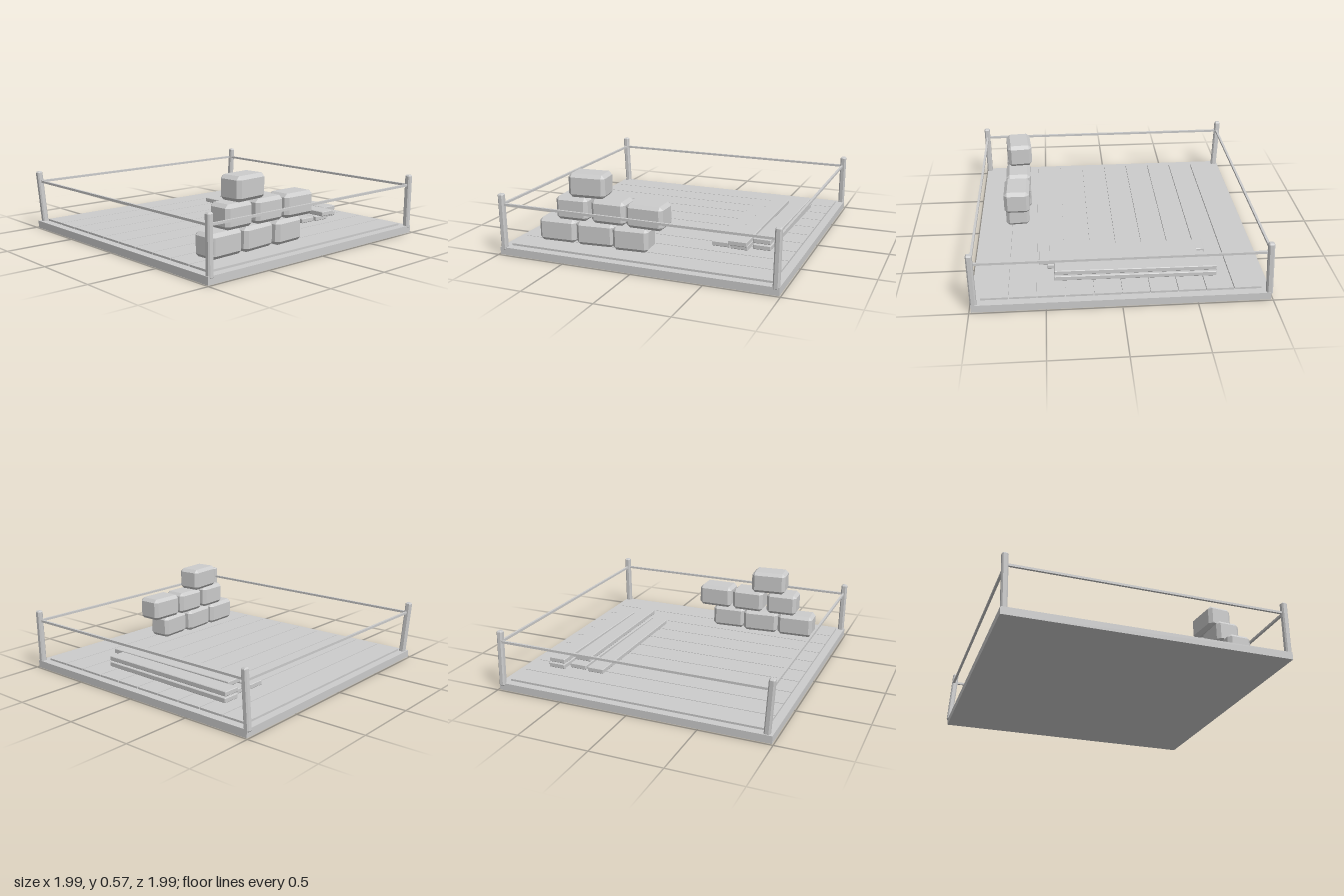
import * as THREE from 'three';
import { ConvexGeometry } from 'three/addons/geometries/ConvexGeometry.js';

const grey = new THREE.MeshStandardMaterial({ color: 0xcccccc });
grey.name = 'plain grey';

// Box with every edge and corner cut flat by c
function chamferBox(w, h, d, c) {
  const points = [];
  for (const x of [-1, 1]) for (const y of [-1, 1]) for (const z of [-1, 1]) {
    const half = [w / 2, h / 2, d / 2], s = [x, y, z];
    for (let axis = 0; axis < 3; axis++) {
      points.push(new THREE.Vector3(...half.map((v, i) => s[i] * (i === axis ? v : v - c))));
    }
  }
  return new ConvexGeometry(points);
}

function add(parent, name, geometry, x, y, z, turn = 0) {
  const mesh = new THREE.Mesh(geometry, grey);
  mesh.name = name;
  mesh.position.set(x, y, z);
  mesh.rotation.y = turn;
  parent.add(mesh);
  return mesh;
}

function addGroup(parent, name) {
  const group = new THREE.Group();
  group.name = name;
  parent.add(group);
  return group;
}

export function createModel() {
  const model = new THREE.Group();
  model.name = 'fencedDeck';

  // Base slab and ten floor planks with narrow gaps
  add(model, 'base', new THREE.BoxGeometry(1.98, 0.053, 1.975), 0, 0.0265, 0);
  const floor = addGroup(model, 'floor');
  const pitch = 0.1865;
  for (let i = 0; i < 10; i++) {
    add(floor, 'floorPlank', new THREE.BoxGeometry(1.865, 0.02, pitch - 0.006),
      0, 0.057, (i - 4.5) * pitch - 0.002);
  }

  // Corner posts, the back pair leaning: [bottom x, bottom z, top x, top z]
  const fence = addGroup(model, 'fence');
  const posts = [
    [-0.963, 0.97, -0.968, 0.97],
    [0.966, 0.97, 0.972, 0.97],
    [-0.948, -0.958, -0.975, -0.976],
    [0.968, -0.978, 0.972, -0.955],
  ];
  for (const [bx, bz, tx, tz] of posts) {
    const dir = new THREE.Vector3(tx - bx, 0.4, tz - bz);
    const post = add(fence, 'post', chamferBox(0.042, dir.length(), 0.042, 0.009),
      (bx + tx) / 2, 0.233, (bz + tz) / 2);
    post.quaternion.setFromUnitVectors(new THREE.Vector3(0, 1, 0), dir.normalize());
  }

  // Thin rails between the posts
  const rail = 0.016;
  for (const s of [-1, 1]) {
    add(fence, 'sideRail', new THREE.BoxGeometry(rail, rail, 1.94), s * 0.965, 0.357, 0);
    add(fence, 'crossRail', new THREE.BoxGeometry(1.94, rail, rail), 0, 0.357, s * 0.968);
  }

  // Stacked stone blocks: [x, y, z, width, depth, turn]
  const stack = addGroup(model, 'blockStack');
  const blocks = [
    [-0.66, 0.152, 0.707, 0.275, 0.175, 0.05],
    [-0.375, 0.152, 0.7, 0.275, 0.175, 0.09],
    [-0.105, 0.152, 0.71, 0.255, 0.175, 0.07],
    [-0.545, 0.317, 0.7, 0.236, 0.175, 0.04],
    [-0.27, 0.317, 0.694, 0.248, 0.18, 0.02],
    [0.003, 0.317, 0.699, 0.266, 0.185, 0],
    [-0.435, 0.483, 0.687, 0.265, 0.18, 0.09],
  ];
  for (const [x, y, z, w, d, turn] of blocks) {
    add(stack, 'block', chamferBox(w, 0.166, d, 0.024), x, y, z, turn);
  }

  // Loose boards in two layers: [x, y, z, turn]
  const pile = addGroup(model, 'boardPile');
  const boards = [
    [0.435, 0.09, -0.073, 0],
    [0.575, 0.09, -0.06, -0.012],
    [0.722, 0.09, -0.107, -0.015],
    [0.576, 0.133, -0.003, 0],
    [0.719, 0.133, -0.107, -0.012],
  ];
  for (const [x, y, z, turn] of boards) {
    add(pile, 'board', chamferBox(0.125, 0.034, 1.095, 0.004), x, y, z, turn);
  }
  return model;
}
